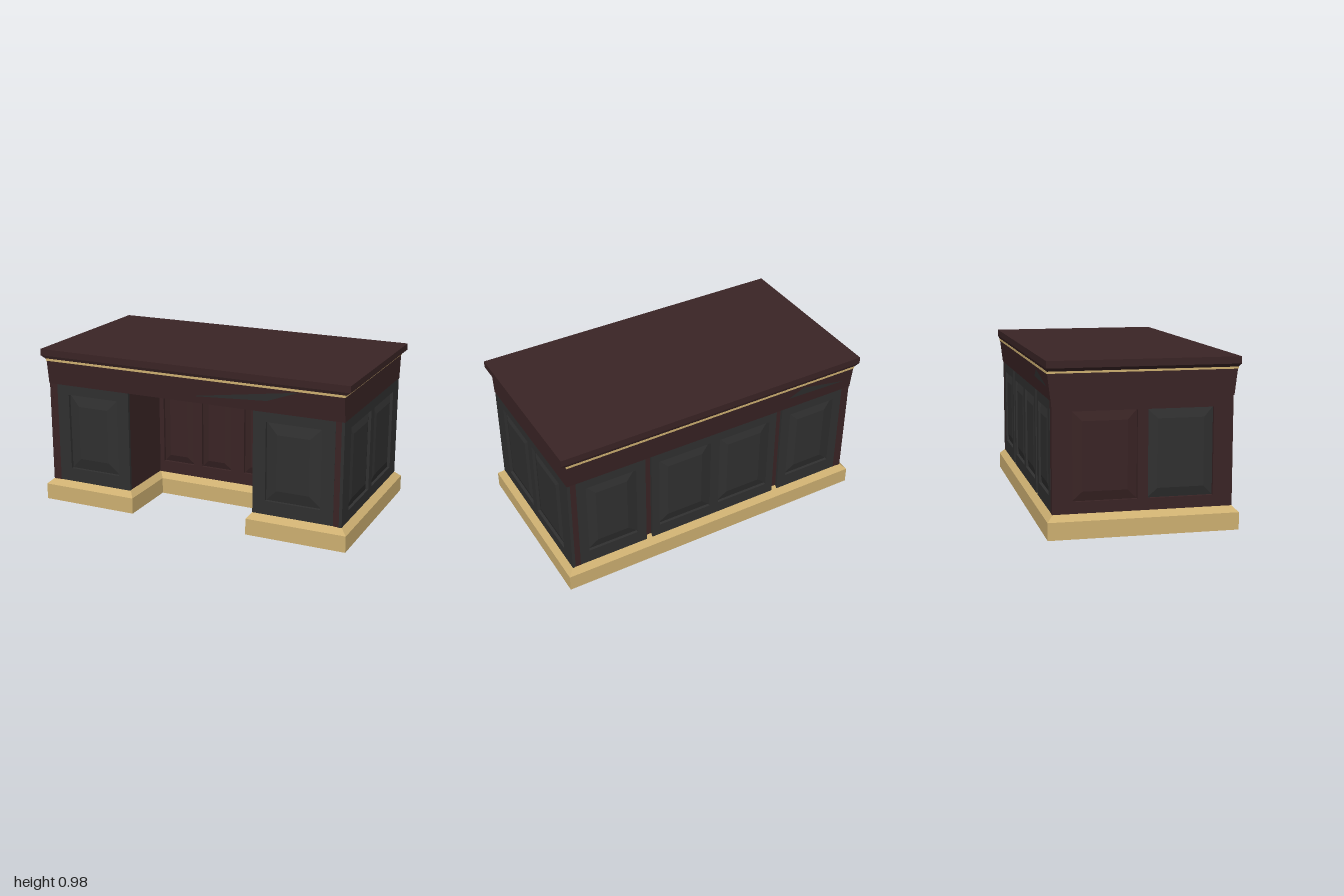
import * as THREE from 'three';

const mat = (name, color) => {
  const m = new THREE.MeshStandardMaterial({ color });
  m.name = name;
  return m;
};

export function createModel() {
  const brown = mat('dark mahogany', 0x3a2425);
  const charcoal = mat('charcoal', 0x303030);
  const tan = mat('tan plinth', 0xceb071);
  const shardMat = charcoal.clone();
  const desk = new THREE.Group();
  desk.name = 'desk';

  const add = (parent, name, geo, material) => {
    const mesh = new THREE.Mesh(geo, material);
    mesh.name = name;
    parent.add(mesh);
    return mesh;
  };

  const box = (parent, name, material, x0, x1, y0, y1, z0, z1) => {
    const g = new THREE.BoxGeometry(x1 - x0, y1 - y0, z1 - z0);
    g.translate((x0 + x1) / 2, (y0 + y1) / 2, (z0 + z1) / 2);
    return add(parent, name, g, material);
  };

  // Centred slab whose half sizes change from bottom to top
  const taperedSlab = (name, material, y0, y1, bx, bz, tx, tz) => {
    const g = new THREE.BoxGeometry(2, 1, 2).toNonIndexed();
    const p = g.attributes.position;
    for (let i = 0; i < p.count; i++) {
      const top = p.getY(i) > 0;
      p.setXYZ(i, p.getX(i) * (top ? tx : bx), top ? y1 : y0, p.getZ(i) * (top ? tz : bz));
    }
    g.computeVertexNormals();
    return add(desk, name, g, material);
  };

  // Raised field: full-size base, bevelled in towards a flat front
  const raisedField = (parent, material, [x0, x1, y0, y1], bevel, depth) => {
    const g = new THREE.BoxGeometry(x1 - x0, y1 - y0, depth).toNonIndexed();
    const p = g.attributes.position;
    for (let i = 0; i < p.count; i++) {
      if (p.getZ(i) > 0) {
        p.setX(i, p.getX(i) - Math.sign(p.getX(i)) * bevel);
        p.setY(i, p.getY(i) - Math.sign(p.getY(i)) * bevel);
      }
    }
    g.translate((x0 + x1) / 2, (y0 + y1) / 2, depth / 2);
    g.computeVertexNormals();
    add(parent, 'raisedField', g, material);
  };

  // Panelled face in local x/y, facing local +z
  const panelFace = (name, rotY, pos, rect, holes, frameMat, fieldMats, bevel = 0.055) => {
    const face = new THREE.Group();
    face.name = name;
    const [x0, x1, y0, y1] = rect;
    const loop = (cls, a, b, c, d) => new cls([
      new THREE.Vector2(a, c), new THREE.Vector2(b, c),
      new THREE.Vector2(b, d), new THREE.Vector2(a, d)]);
    const shape = loop(THREE.Shape, x0, x1, y0, y1);
    holes.forEach(h => shape.holes.push(loop(THREE.Path, ...h)));
    add(face, 'frame', new THREE.ExtrudeGeometry(shape, { depth: 0.018, bevelEnabled: false }), frameMat);
    holes.forEach((h, i) => raisedField(face, fieldMats[i % fieldMats.length], h, bevel, 0.016));
    face.rotation.y = rotY;
    face.position.set(...pos);
    desk.add(face);
  };

  // Plinth: U-shaped outline with a sloped upper edge
  const outline = (x, z, kx, kz) => [
    [-x, z], [-kx, z], [-kx, kz], [kx, kz], [kx, z], [x, z], [x, -z], [-x, -z]];
  const outer = outline(1, 0.545, 0.38, 0.15);
  const inner = outline(0.945, 0.495, 0.42, 0.1);
  const plan = new THREE.Shape(outer.map(([x, z]) => new THREE.Vector2(x, -z)));
  const plinth = new THREE.ExtrudeGeometry(plan, { depth: 0.1, bevelEnabled: false });
  plinth.rotateX(-Math.PI / 2);
  add(desk, 'plinth', plinth, tan);
  const slope = [];
  outer.forEach(([ax, az], i) => {
    const j = (i + 1) % outer.length;
    const a = [ax, 0.1, az], b = [outer[j][0], 0.1, outer[j][1]];
    const c = [inner[j][0], 0.15, inner[j][1]], d = [inner[i][0], 0.15, inner[i][1]];
    slope.push(...a, ...b, ...c, ...a, ...c, ...d);
  });
  const slopeGeo = new THREE.BufferGeometry();
  slopeGeo.setAttribute('position', new THREE.Float32BufferAttribute(slope, 3));
  slopeGeo.computeVertexNormals();
  add(desk, 'plinthMoulding', slopeGeo, tan);

  // Carcass: two pedestals joined by a back section
  for (const s of [-1, 1]) {
    const [a, b] = s > 0 ? [0.41, 0.945] : [-0.945, -0.41];
    box(desk, s > 0 ? 'leftPedestal' : 'rightPedestal', brown, a, b, 0.1, 0.77, -0.495, 0.495);
  }
  box(desk, 'backSection', brown, -0.41, 0.41, 0.1, 0.77, -0.495, 0.1);

  // Pedestal doors and brown corner posts
  for (const s of [-1, 1]) {
    panelFace('pedestalDoor', 0, [s * 0.66, 0, 0.495], [-0.25, 0.25, 0.135, 0.76],
      [[-0.17, 0.17, 0.22, 0.7]], charcoal, [charcoal], 0.07);
    for (const z of [-1, 1]) {
      const [x0, x1] = s > 0 ? [0.91, 0.96] : [-0.96, -0.91];
      const [z0, z1] = z > 0 ? [0.48, 0.512] : [-0.512, -0.48];
      box(desk, 'cornerPost', brown, x0, x1, 0.13, 0.77, z0, z1);
    }
  }

  // Kneehole back panels
  panelFace('kneeholePanels', 0, [0, 0, 0.1], [-0.41, 0.41, 0.135, 0.76],
    [[-0.38, -0.17, 0.21, 0.7], [-0.11, 0.09, 0.21, 0.7], [0.18, 0.35, 0.21, 0.7]],
    brown, [brown], 0.045);

  // Side panels, two on each end
  const sideHoles = [[-0.4, -0.035, 0.2, 0.7], [0.025, 0.4, 0.2, 0.7]];
  panelFace('leftSide', Math.PI / 2, [0.945, 0, 0], [-0.513, 0.513, 0.125, 0.765],
    sideHoles, charcoal, [charcoal]);
  panelFace('rightSide', -Math.PI / 2, [-0.945, 0, 0], [-0.513, 0.513, 0.125, 0.765],
    sideHoles, brown, [brown, charcoal]);

  // Back panels: one on each end, a pair in the middle
  for (const s of [-1, 1]) {
    panelFace('backEndPanel', Math.PI, [s * 0.69, 0, -0.495], [-0.22, 0.22, 0.135, 0.76],
      [[-0.16, 0.16, 0.22, 0.7]], charcoal, [charcoal], 0.06);
  }
  panelFace('backMiddlePanels', Math.PI, [0, 0, -0.495], [-0.43, 0.43, 0.135, 0.76],
    [[-0.38, -0.03, 0.21, 0.7], [0.03, 0.38, 0.21, 0.7]], charcoal, [charcoal], 0.06);

  // Frieze, gilt line and top
  taperedSlab('frieze', brown, 0.76, 0.925, 0.965, 0.517, 0.965, 0.537);
  taperedSlab('giltLine', tan, 0.908, 0.922, 0.968, 0.539, 0.968, 0.539);
  taperedSlab('topMoulding', brown, 0.92, 0.94, 0.97, 0.537, 1, 0.545);
  taperedSlab('deskTop', brown, 0.94, 0.98, 1, 0.545, 1, 0.545);

  // Dark inlay slivers on the frieze, front and back
  shardMat.name = 'charcoal inlay';
  shardMat.side = THREE.DoubleSide;
  const zAt = y => 0.519 + (y - 0.76) * 0.122;
  const sliver = (name, s, pts) => {
    const g = new THREE.BufferGeometry();
    g.setAttribute('position', new THREE.Float32BufferAttribute(
      pts.flatMap(([x, y]) => [x, y, s * zAt(y)]), 3));
    g.computeVertexNormals();
    add(desk, name, g, shardMat);
  };
  sliver('frontInlay', 1, [[0.02, 0.8], [0.5, 0.83], [0.7, 0.905]]);
  sliver('backInlay', -1, [[-0.5, 0.84], [-0.9, 0.83], [-0.6, 0.89]]);

  return desk;
}
